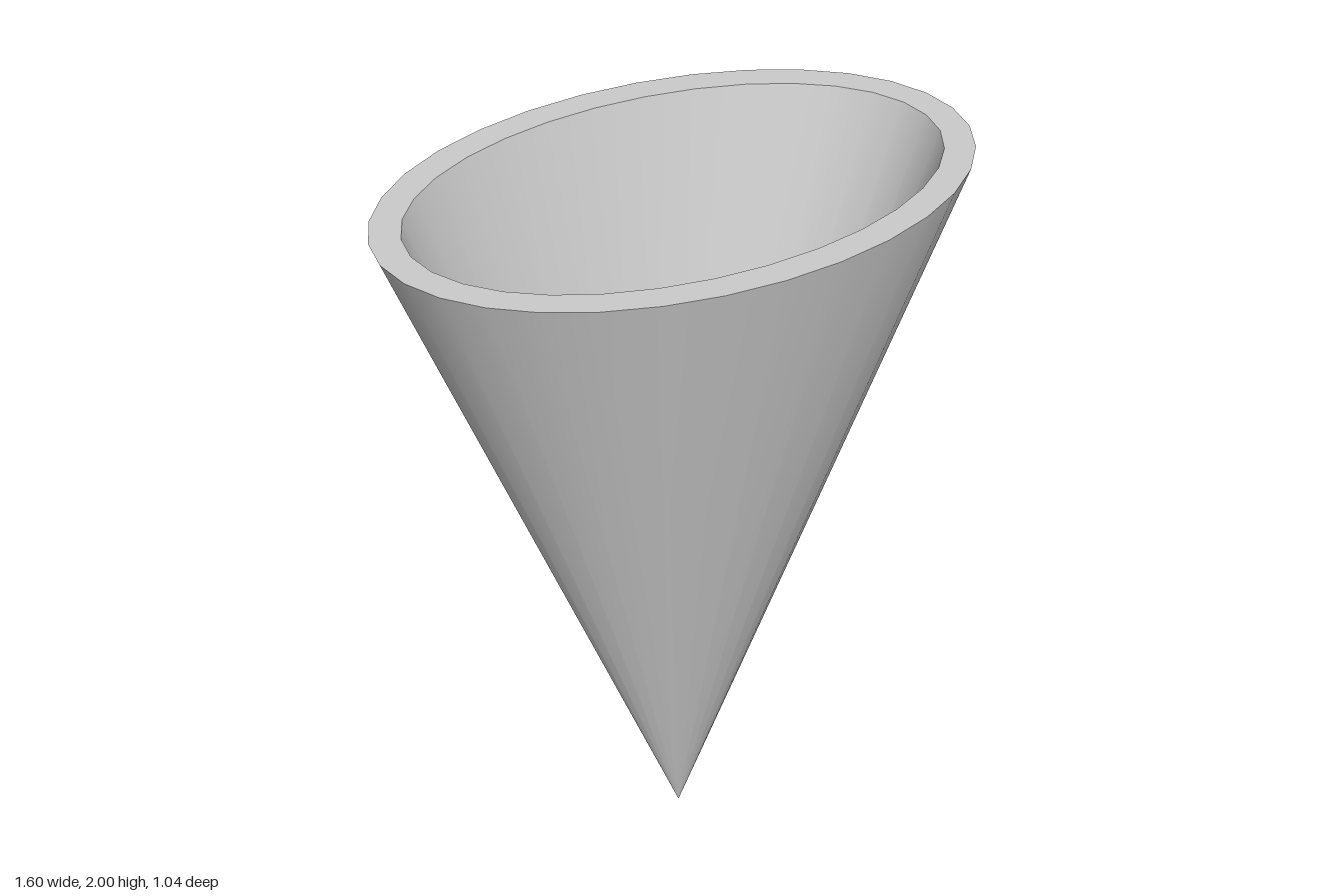
import * as THREE from 'three';

const HEIGHT = 2, SEGMENTS = 32;
const OUTER = [0.8, 0.52]; // half-widths of the mouth in x and z
const INNER = [0.72, 0.44];

// Elliptical cone wall standing on its tip; inward flips it to face the hollow
function coneWall([rx, rz], inward) {
  const profile = [new THREE.Vector2(0, 0), new THREE.Vector2(1, HEIGHT)];
  if (inward) profile.reverse();
  return new THREE.LatheGeometry(profile, SEGMENTS).scale(rx, 1, rz);
}

// Flat elliptical ring closing the top between the two walls
function rimRing() {
  const shape = new THREE.Shape().absellipse(0, 0, ...OUTER, 0, Math.PI * 2);
  shape.holes.push(new THREE.Path().absellipse(0, 0, ...INNER, 0, Math.PI * 2));
  return new THREE.ShapeGeometry(shape, SEGMENTS / 2)
    .rotateX(-Math.PI / 2)
    .translate(0, HEIGHT, 0);
}

export function createModel() {
  const group = new THREE.Group();
  group.name = 'hollowCone';
  const material = new THREE.MeshStandardMaterial({ color: 0xcccccc });

  const add = (name, geometry) => {
    const mesh = new THREE.Mesh(geometry, material);
    mesh.name = name;
    group.add(mesh);
  };

  add('outerWall', coneWall(OUTER, false));
  add('innerWall', coneWall(INNER, true));
  add('rim', rimRing());
  return group;
}
